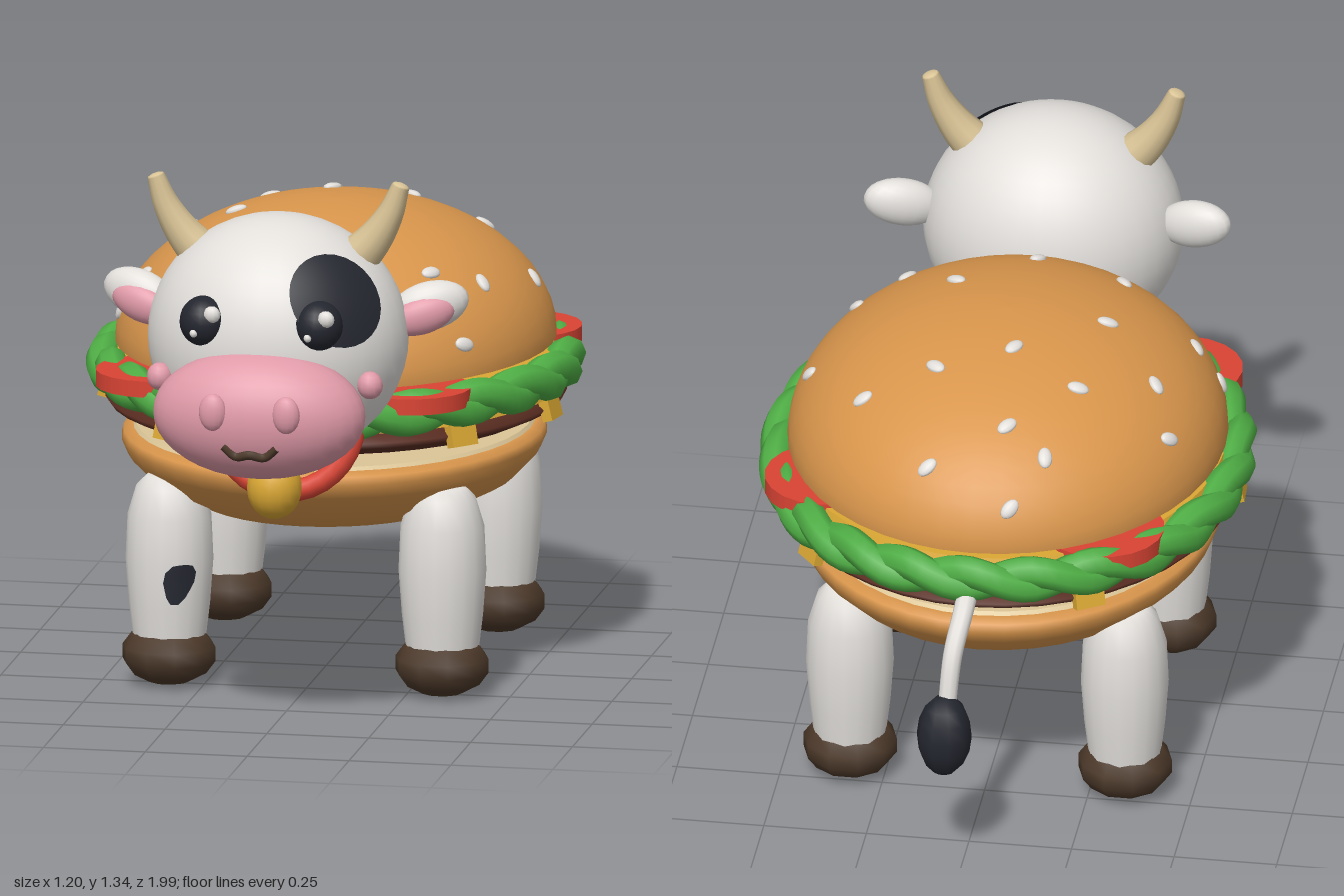
import * as THREE from 'three';

const colour = (name, hex) => {
  const m = new THREE.MeshStandardMaterial({ color: hex });
  m.name = name;
  return m;
};

export function createModel() {
  const white = colour('white', 0xe2dfdb), bun = colour('bun', 0xd9964c), cream = colour('cream', 0xdcc698);
  const pink = colour('pink', 0xe09aa8), black = colour('black', 0x24262f), green = colour('green', 0x4fae45);
  const red = colour('red', 0xda4434), yellow = colour('yellow', 0xdba834);
  const hoofBrown = colour('hoof brown', 0x4b3829), pattyBrown = colour('patty brown', 0x5c2e22);
  black.side = THREE.DoubleSide;

  const model = new THREE.Group();
  model.name = 'burgerCow';
  const CZ = -0.125; // centre of the burger stack along z

  const add = (name, geo, mat, pos = [0, 0, 0], parent = model) => {
    const m = new THREE.Mesh(geo, mat);
    m.name = name;
    m.position.set(...pos);
    parent.add(m);
    return m;
  };
  const ball = (name, mat, pos, radii, rot = [0, 0, 0], ws = 20, hs = 14) => {
    const g = new THREE.SphereGeometry(1, ws, hs).scale(...radii);
    const m = add(name, g, mat, pos);
    m.rotation.set(...rot);
    return m;
  };
  const lathe = (pts, seg) => new THREE.LatheGeometry(pts.map(p => new THREE.Vector2(...p)), seg);
  const curve = (pts, closed = false) =>
    new THREE.CatmullRomCurve3(pts.map(p => new THREE.Vector3(...p)), closed);
  // Tube whose radius changes linearly from r0 to r1, closed by end balls elsewhere
  const taper = (path, r0, r1, seg, sides) => {
    const g = new THREE.TubeGeometry(path, seg, 1, sides), p = g.attributes.position;
    const c = new THREE.Vector3(), v = new THREE.Vector3();
    for (let i = 0; i < p.count; i++) {
      const t = Math.floor(i / (sides + 1)) / seg;
      path.getPointAt(t, c);
      v.fromBufferAttribute(p, i).sub(c).multiplyScalar(r0 + (r1 - r0) * t).add(c);
      p.setXYZ(i, v.x, v.y, v.z);
    }
    return g;
  };

  // Bottom bun with its pale cut face
  const bottom = lathe([[0, 0.375], [0.2, 0.382], [0.34, 0.41], [0.44, 0.462], [0.495, 0.52], [0.51, 0.555],
    [0.505, 0.575], [0.485, 0.585], [0, 0.585]], 40).scale(1, 1, 1.18);
  add('bottomBun', bottom, bun, [0, 0, -0.105]);
  add('bottomBunCutFace', new THREE.CylinderGeometry(0.475, 0.485, 0.012, 40).scale(1, 1, 1.18), cream, [0, 0.587, -0.105]);

  // Patty
  const patty = lathe([[0, 0.595], [0.38, 0.6], [0.49, 0.618], [0.545, 0.643], [0.555, 0.658], [0.53, 0.678], [0, 0.685]], 40);
  add('patty', patty.scale(1, 1, 1.12), pattyBrown, [0, 0, CZ]);

  // Cheese with drooping corners
  add('cheese', new THREE.CylinderGeometry(0.525, 0.555, 0.085, 40).scale(1, 1, 1.12), yellow, [0, 0.725, CZ]);
  [10, 45, 79, 124, 176, 240, 318].forEach(deg => {
    const a = deg * Math.PI / 180;
    const d = add('cheeseCorner', new THREE.BoxGeometry(0.075, 0.06, 0.025), yellow,
      [0.555 * Math.cos(a), 0.66, CZ + 0.62 * Math.sin(a)]);
    d.rotation.set(-0.25, Math.atan2(Math.cos(a) / 0.555, Math.sin(a) / 0.62), 0, 'YXZ');
  });

  // Tomato slices peeking out of the lettuce
  [[-0.37, -0.64], [0.51, -0.45], [-0.46, 0.36], [0.34, 0.45]].forEach(([x, z]) => {
    add('tomato', new THREE.CylinderGeometry(0.15, 0.15, 0.04, 20), red, [x * 0.79, 0.757, CZ + (z - CZ) * 0.79]);
  });

  // Ruffled lettuce: two waving strands around the rim
  [0, Math.PI].forEach(phase => {
    const pts = [];
    for (let i = 0; i < 72; i++) {
      const a = i / 72 * Math.PI * 2, w = Math.sin(a * 11 + phase), o = 0.012 * Math.cos(a * 11 + phase);
      pts.push([(0.55 + o) * Math.cos(a), 0.73 + 0.02 * w + 0.006 * Math.sin(3 * a), CZ + (0.635 + o) * Math.sin(a)]);
    }
    add('lettuce', new THREE.TubeGeometry(curve(pts, true), 144, 0.039, 8, true), green);
  });

  // Top bun
  const DX = 0.53, DY = 0.34, DZ = 0.605;
  const dome = [[0, 0], [0.99, 0]];
  for (let i = 0; i <= 14; i++) dome.push([Math.cos(i / 14 * Math.PI / 2), Math.sin(i / 14 * Math.PI / 2)]);
  add('topBun', lathe(dome, 44).scale(DX, DY, DZ), bun, [0, 0.79, CZ]);

  // Sesame seeds lying on the dome
  [[-0.09, -0.69], [0.12, -0.63], [-0.16, -0.585], [-0.06, -0.535], [0.31, -0.415], [-0.43, -0.365], [-0.21, -0.38],
    [0.14, -0.365], [-0.04, -0.29], [-0.38, -0.25], [0.475, -0.185], [-0.24, -0.1], [0.15, 0.03], [-0.495, 0.04],
    [-0.435, 0.04], [0.4, 0.08], [0.29, 0.17], [-0.235, 0.19], [-0.02, 0.225], [0.39, 0.26], [-0.25, 0.4]
  ].forEach(([x, z], i) => {
    const y = DY * Math.sqrt(Math.max(0.02, 1 - (x / DX) ** 2 - ((z - CZ) / DZ) ** 2));
    const s = ball('sesameSeed', white, [x, 0.79 + y, z], [0.018, 0.027, 0.011], [0, 0, 0], 10, 8);
    const n = new THREE.Vector3(x / DX ** 2, y / DY ** 2, (z - CZ) / DZ ** 2).normalize();
    s.quaternion.setFromUnitVectors(new THREE.Vector3(0, 0, 1), n);
    s.rotateZ(i * 1.9);
  });

  // Legs and hooves
  for (const x of [-0.335, 0.335]) for (const z of [0.255, -0.455]) {
    const leg = lathe([[0.085, 0.09], [0.098, 0.2], [0.106, 0.31], [0.101, 0.42], [0.08, 0.49], [0.055, 0.515], [0, 0.522]], 18);
    add('leg', leg, white, [x, 0, z]);
    ball('hoof', hoofBrown, [x, 0.077, z + 0.005], [0.117, 0.077, 0.117], [0, 0, 0], 10, 7);
  }
  // Dark spot wrapped on one front leg
  const spot = new THREE.RingGeometry(0.001, 1, 14, 4), sp = spot.attributes.position;
  for (let i = 0; i < sp.count; i++) {
    const x = sp.getX(i), y = sp.getY(i), k = 1 + 0.12 * Math.sin(3 * Math.atan2(y, x));
    const a = 0.41 + k * (x * 0.36 + y * 0.1);
    sp.setXYZ(i, 0.109 * Math.sin(a), k * y * 0.05, 0.109 * Math.cos(a));
  }
  spot.computeVertexNormals();
  add('legSpot', spot, black, [-0.335, 0.27, 0.255]);

  // Tail
  add('tail', taper(curve([[0, 0.71, -0.74], [0.005, 0.67, -0.81], [0.02, 0.59, -0.875], [0.03, 0.45, -0.915]]),
    0.026, 0.022, 16, 10), white);
  ball('tailTuft', black, [0.033, 0.395, -0.928], [0.067, 0.103, 0.07], [0.1, 0, 0], 10, 8);

  // Collar and bell
  const collar = add('collar', new THREE.TorusGeometry(0.165, 0.027, 10, 32), red, [0, 0.71, 0.49]);
  collar.rotation.x = -0.28;
  ball('bell', yellow, [0, 0.588, 0.655], [0.067, 0.078, 0.07], [0, 0, 0], 16, 12);

  // Head and muzzle
  const HEAD = [0, 0.953, 0.605], HR = [0.316, 0.3, 0.275];
  ball('head', white, HEAD, HR, [0, 0, 0], 36, 24);
  ball('muzzle', pink, [0, 0.812, 0.845], [0.26, 0.158, 0.14], [0, 0, 0], 32, 20);
  add('mouth', new THREE.TubeGeometry(curve([[-0.065, 0.757, 0.967], [-0.035, 0.732, 0.966], [0, 0.738, 0.972],
    [0.035, 0.732, 0.966], [0.065, 0.757, 0.967]]), 24, 0.011, 8), hoofBrown);

  // Dark patch around one eye
  const patch = new THREE.SphereGeometry(1, 28, 8, 0, Math.PI * 2, 0, 0.38).scale(1.05, 1, 1.05);
  patch.applyQuaternion(new THREE.Quaternion().setFromUnitVectors(new THREE.Vector3(0, 1, 0),
    new THREE.Vector3(0.58, 0.46, 0.67).normalize()));
  add('eyePatch', patch.scale(...HR.map(r => r * 1.016)), black, HEAD);

  for (const s of [-1, 1]) {
    // Face details
    ball('nostril', pink, [s * 0.09, 0.84, 0.972], [0.034, 0.046, 0.022], [0, 0, 0], 14, 10);
    ball('cheek', pink, [s * 0.258, 0.878, 0.775], [0.032, 0.034, 0.03], [0, 0, 0], 12, 8);
    ball('eye', black, [s * 0.14, 1.03, 0.82], [0.06, 0.062, 0.06]);
    ball('eyeGlint', white, [s * 0.14 + 0.027, 1.056, 0.864], [0.021, 0.021, 0.016], [0, 0, 0], 10, 8);
    ball('eyeGlintSmall', white, [s * 0.14 - 0.016, 1.01, 0.874], [0.01, 0.01, 0.009], [0, 0, 0], 8, 6);
    // Ears
    ball('ear', white, [s * 0.355, 1.022, 0.525], [0.098, 0.06, 0.045], [0, s * 0.3, s * 0.25]);
    ball('innerEar', pink, [s * 0.345, 1.005, 0.553], [0.082, 0.046, 0.034], [0, s * 0.3, s * 0.3]);
    // Horns, bending upward to a blunt tip
    const horn = curve([[s * 0.18, 1.14, 0.605], [s * 0.235, 1.2, 0.605], [s * 0.275, 1.265, 0.605], [s * 0.3, 1.333, 0.605]]);
    add('horn', taper(horn, 0.056, 0.022, 12, 12), cream);
    ball('hornTip', cream, [s * 0.3, 1.333, 0.605], [0.022, 0.008, 0.022], [0, 0, s * -0.35], 12, 6);
  }
  return model;
}
